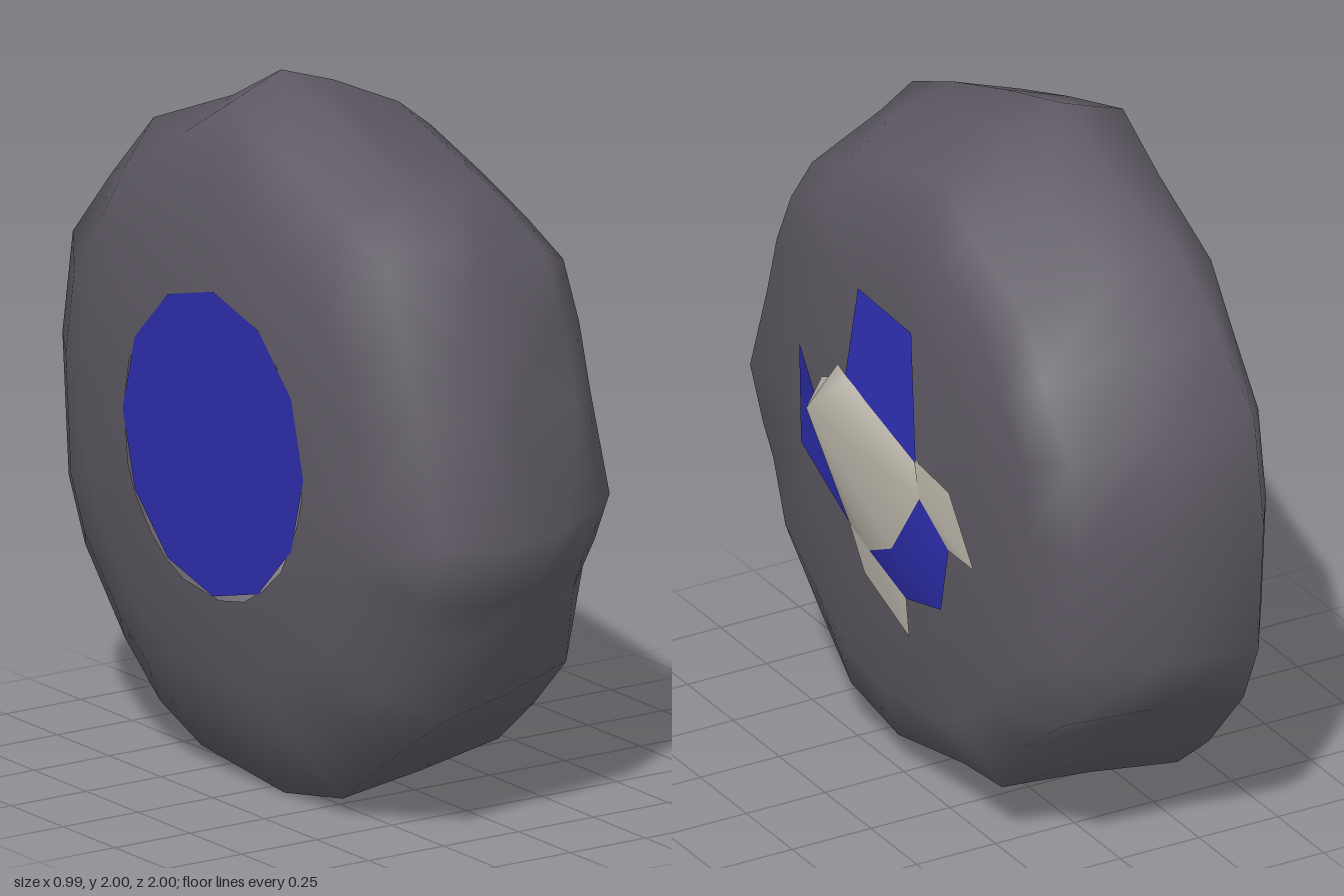
import * as THREE from 'three';

const paint = (color) => new THREE.MeshStandardMaterial({ color, side: THREE.DoubleSide });
const rubber = paint(0x5e5963);
const blue = paint(0x2d2dab);
const bone = paint(0xb9b4a8);

// Uneven rolling outline as [z, y], clockwise seen from the outer side
const outline = [
  [-0.12, 2], [-0.33, 1.88], [-0.64, 1.75], [-0.79, 1.56], [-0.95, 1.36], [-1, 1.06],
  [-0.97, 0.66], [-0.89, 0.48], [-0.7, 0.26], [-0.53, 0.12], [-0.33, 0.04], [0.07, 0],
  [0.35, 0.05], [0.55, 0.2], [0.76, 0.36], [0.84, 0.6], [0.91, 0.71], [1, 0.9],
  [0.88, 1.25], [0.81, 1.49], [0.71, 1.7], [0.48, 1.8], [0.2, 1.9],
];

// Rings across the width: [x low/back, x top/front, radius low/back, radius top/front]
const rings = [
  [-0.5, -0.5, 0.43, 0.43],
  [-0.47, -0.47, 0.68, 0.68],
  [-0.41, -0.38, 0.84, 0.93],
  [-0.31, -0.19, 1, 1],
  [-0.04, -0.02, 0.965, 0.945],
  [0.23, 0.19, 0.92, 0.85],
  [0.29, 0.29, 0.75, 0.77],
  [0.31, 0.31, 0.5, 0.5],
  [0.34, 0.34, 0.22, 0.22],
];

function meshFrom(name, positions, index, material) {
  const g = new THREE.BufferGeometry();
  g.setAttribute('position', new THREE.Float32BufferAttribute(positions, 3));
  g.setIndex(index);
  g.computeVertexNormals();
  const mesh = new THREE.Mesh(g, material);
  mesh.name = name;
  return mesh;
}

function tyre() {
  const n = outline.length, pos = [], index = [];
  rings.forEach(([x0, x1, r0, r1], k) => {
    outline.forEach(([z, y], i) => {
      const dy = y - 1, R = Math.hypot(z, dy);
      const w = THREE.MathUtils.smoothstep((dy + z) / R, -0.6, 0.9);
      let r = THREE.MathUtils.lerp(r0, r1, w);
      let x = THREE.MathUtils.lerp(x0, x1, w);
      // the flat side walls are rounder than the tread
      if (k > 1 && k < 7) r *= R; else r *= 1 + (R - 1) * 0.3;
      // chipped shoulder low at the back, ragged tread edge at the front
      if (k === 5 && i > 5 && i < 11) r += i % 2 ? 0.025 : -0.035;
      if (k === 4 && i > 16) x += i % 2 ? 0.05 : -0.05;
      pos.push(x, 1 + dy / R * r, z / R * r);
    });
  });
  for (let k = 0; k < rings.length - 1; k++) {
    for (let i = 0; i < n; i++) {
      const j = (i + 1) % n;
      const a = k * n + i, b = k * n + j, c = b + n, d = a + n;
      index.push(a, d, c, a, c, b);
    }
  }
  return meshFrom('tyre', pos, index, rubber);
}

// Fan of triangles around the first point; points are [x, y, z]
function fan(name, points, material, closed = false) {
  const index = [];
  for (let i = 1; i < points.length - 1; i++) index.push(0, i, i + 1);
  if (closed) index.push(0, points.length - 1, 1);
  return meshFrom(name, points.flat(), index, material);
}

export function createModel() {
  const group = new THREE.Group();
  group.add(tyre());

  // Disc closing the inner side
  const disc = new THREE.Mesh(new THREE.CircleGeometry(0.435, 12), blue);
  disc.name = 'innerDisc';
  disc.rotation.y = -Math.PI / 2;
  disc.position.set(-0.5, 1.01, 0);
  group.add(disc);

  // Domed hub cap with an off-centre peak
  group.add(fan('hubCap', [
    [0.49, 1.13, 0.12], [0.39, 1.24, 0.12], [0.39, 1.22, 0.07], [0.36, 1.1, -0.27],
    [0.37, 1, -0.29], [0.4, 0.81, -0.19], [0.36, 0.71, 0], [0.36, 0.75, 0.11],
    [0.4, 1.1, 0.23], [0.36, 1.13, 0.26], [0.36, 1.17, 0.17],
  ], bone, true));

  // Blue panels around the hub
  const panels = [
    [[0.39, 1.22, 0.08], [0.37, 1.1, -0.27], [0.32, 1.44, -0.16], [0.32, 1.45, 0.13], [0.34, 1.27, 0.13]],
    [[0.36, 0.75, 0.11], [0.4, 1.12, 0.24], [0.32, 1.14, 0.45], [0.32, 0.84, 0.44]],
    [[0.4, 0.81, -0.19], [0.37, 1, -0.29], [0.33, 0.87, -0.38], [0.33, 0.67, -0.34],
      [0.33, 0.62, -0.15], [0.36, 0.71, 0]],
  ];
  panels.forEach((p) => group.add(fan('hubPanel', p, blue)));

  // Pale tabs between the panels
  const tabs = [
    [[0.37, 1, -0.29], [0.37, 1.11, -0.26], [0.34, 1.06, -0.4], [0.32, 0.86, -0.5], [0.33, 0.87, -0.38]],
    [[0.36, 0.71, 0], [0.36, 0.75, 0.11], [0.34, 0.61, 0.06], [0.32, 0.5, -0.15], [0.33, 0.62, -0.15]],
  ];
  tabs.forEach((p) => group.add(fan('hubTab', p, bone)));
  return group;
}
